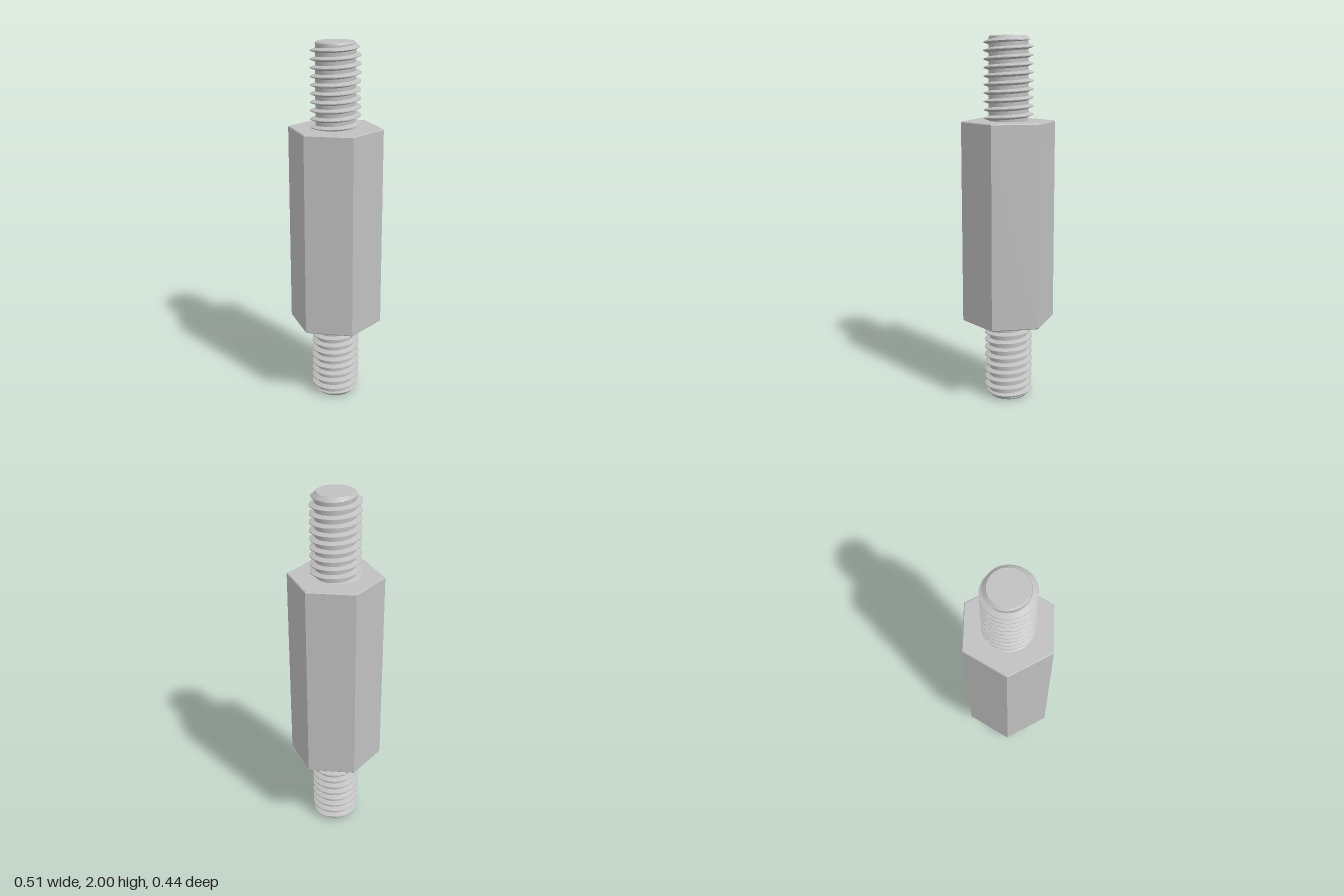
import * as THREE from 'three';
import { toCreasedNormals } from 'three/addons/utils/BufferGeometryUtils.js';

const PITCH = 0.0443, MAJOR = 0.133, MINOR = 0.106, TIP = 0.098;
const STUD = 0.446, HALF_BODY = 0.553, HEX = 0.256, SIDES = 60;

// Thread profile over one pitch: [phase, radius], root flat, flank, crest, flank
const PROFILE = [[0, MINOR], [0.22, MINOR], [0.335, (MINOR + MAJOR) / 2], [0.45, MAJOR],
  [0.55, MAJOR], [0.665, (MINOR + MAJOR) / 2], [0.78, MINOR], [1, MINOR]];

function profileRadius(phase) {
  const f = phase - Math.floor(phase);
  const k = Math.max(1, PROFILE.findIndex((p) => p[0] >= f));
  const [a, ra] = PROFILE[k - 1], [b, rb] = PROFILE[k];
  return ra + (rb - ra) * (f - a) / (b - a);
}

// Right-handed helical surface from y = 0 to the chamfered tip at y = STUD
function threadGeometry() {
  const rows = [];
  for (let turn = -1; turn <= Math.ceil(STUD / PITCH); turn++) {
    for (let k = 0; k < PROFILE.length - 1; k++) rows.push(turn + PROFILE[k][0]);
  }
  const point = (i, row) => {
    const t = (i / SIDES) * Math.PI * 2;
    const y = THREE.MathUtils.clamp((row + i / SIDES) * PITCH, 0, STUD);
    const r = Math.min(profileRadius(y / PITCH - i / SIDES), TIP + STUD - y);
    return new THREE.Vector3(r * Math.cos(t), y, -r * Math.sin(t));
  };
  const positions = [];
  const addTriangle = (...corners) => {
    if (new THREE.Triangle(...corners).getArea() < 1e-9) return;
    corners.forEach((p) => positions.push(p.x, p.y, p.z));
  };
  for (let j = 0; j < rows.length - 1; j++) {
    for (let i = 0; i < SIDES; i++) {
      const a = point(i, rows[j]), b = point(i + 1, rows[j]);
      const c = point(i + 1, rows[j + 1]), d = point(i, rows[j + 1]);
      addTriangle(a, b, c);
      addTriangle(a, c, d);
    }
  }
  const geometry = new THREE.BufferGeometry();
  geometry.setAttribute('position', new THREE.Float32BufferAttribute(positions, 3));
  return toCreasedNormals(geometry, 0.5);
}

// Six-sided column with tiny chamfers on the end edges
function hexGeometry() {
  const c = 0.005;
  const outline = [[0, -HALF_BODY], [HEX - c, -HALF_BODY], [HEX, -HALF_BODY + c],
    [HEX, HALF_BODY - c], [HEX - c, HALF_BODY], [0, HALF_BODY]]
    .map(([x, y]) => new THREE.Vector2(x, y));
  const geometry = new THREE.LatheGeometry(outline, 6, Math.PI / 6).toNonIndexed();
  geometry.computeVertexNormals();
  return geometry;
}

export function createModel() {
  const steel = new THREE.MeshStandardMaterial({ color: 0xc0c0c0 });
  steel.name = 'steel grey';
  const model = new THREE.Group();
  model.name = 'hexStandoff';

  const add = (parent, name, geometry, y) => {
    const mesh = new THREE.Mesh(geometry, steel);
    mesh.name = name;
    mesh.position.y = y;
    parent.add(mesh);
  };

  add(model, 'hexBody', hexGeometry(), 1);

  // Threaded studs: the lower one is the upper one turned end over end
  const thread = threadGeometry();
  const cap = new THREE.CircleGeometry(TIP, SIDES).rotateX(-Math.PI / 2);
  for (const [name, turn] of [['upperStud', 0], ['lowerStud', Math.PI]]) {
    const stud = new THREE.Group();
    stud.name = name;
    stud.position.y = 1;
    stud.rotation.x = turn;
    add(stud, 'thread', thread, 1 - STUD);
    add(stud, 'endCap', cap, 1);
    model.add(stud);
  }
  return model;
}
